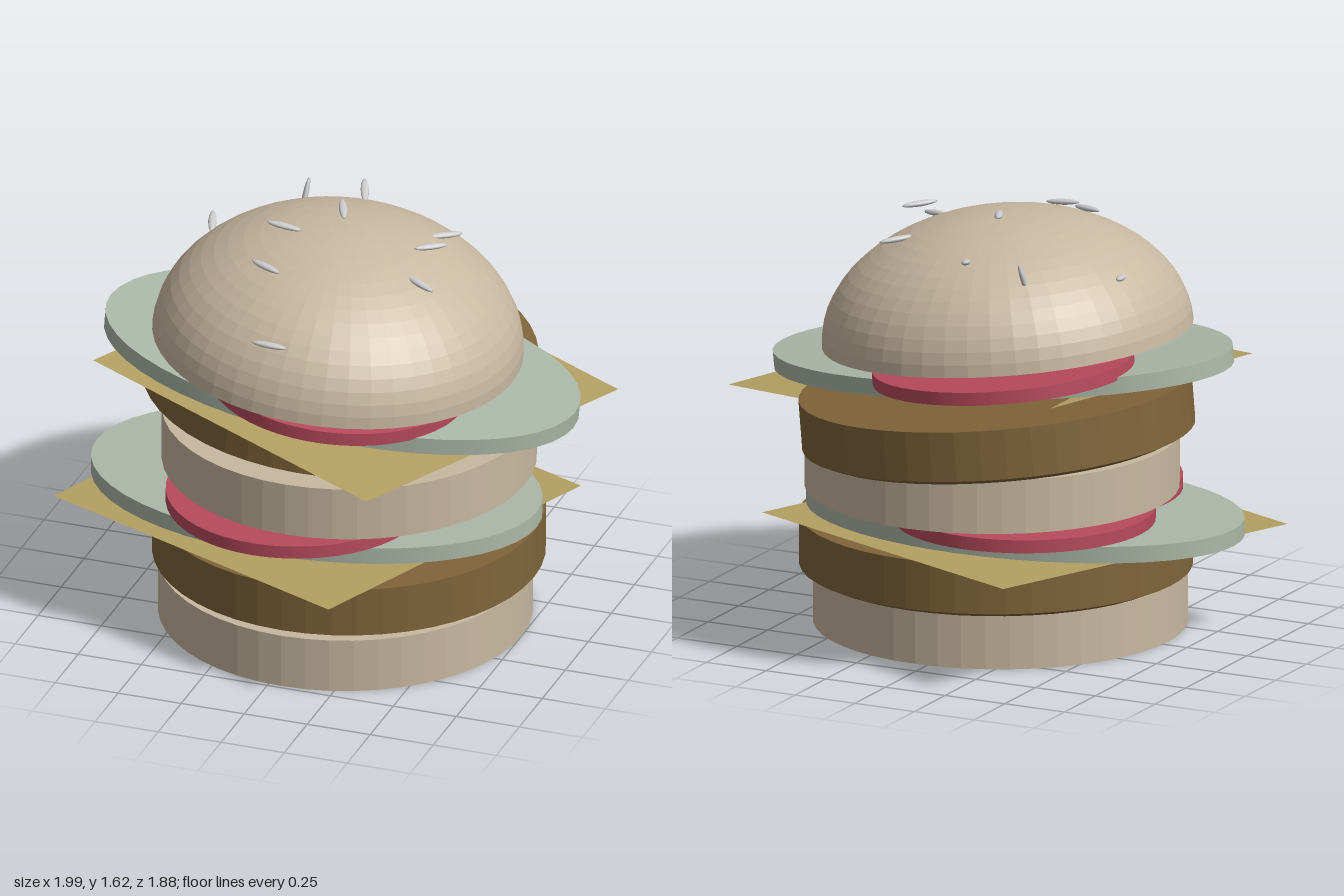
import * as THREE from 'three';

const mat = (color, extra = {}) => new THREE.MeshStandardMaterial({ color, ...extra });
const SIDES = 48;
const TILT = THREE.MathUtils.degToRad(-5); // lean of the upper stack

export function createModel() {
  const group = new THREE.Group();
  const bunMat = mat(0xc8b8a0, { flatShading: true });
  const pattyMat = mat(0x80643a, { flatShading: true });
  const tomatoMat = mat(0xb84a5c);
  const lettuceMat = mat(0xacb8a8);
  const cheeseMat = mat(0xb3a062, { side: THREE.DoubleSide });
  const seedMat = mat(0xcccccc);

  const add = (name, geometry, material, x, y, z, tilt = 0) => {
    const mesh = new THREE.Mesh(geometry, material);
    mesh.name = name;
    mesh.position.set(x, y, z);
    mesh.rotation.z = tilt;
    group.add(mesh);
    return mesh;
  };
  const disc = (r, h) => new THREE.CylinderGeometry(r, r, h, SIDES);
  const lathe = (pts) => new THREE.LatheGeometry(pts.map(([x, y]) => new THREE.Vector2(x, y)), SIDES);

  // Flat buns
  add('bottomBun', disc(0.7, 0.21), bunMat, 0.05, 0.105, 0.037);
  add('middleBun', disc(0.7, 0.208), bunMat, 0.015, 0.666, -0.1);

  // Patties, narrowed slightly at the underside
  const patty = lathe([[0, -0.105], [0.69, -0.105], [0.735, -0.085], [0.735, 0.105], [0, 0.105]]);
  add('lowerPatty', patty, pattyMat, 0.05, 0.317, 0);
  add('upperPatty', patty, pattyMat, -0.062, 0.876, -0.21, TILT * 0.98);

  // Cheese sheets, turned about the vertical
  const cheese = new THREE.PlaneGeometry(1.39, 1.39).rotateX(-Math.PI / 2).rotateY(-Math.PI / 8);
  add('lowerCheese', cheese, cheeseMat, -0.088, 0.425, -0.035);
  add('upperCheese', cheese, cheeseMat, 0.085, 0.966, 0.022, TILT * 1.04);

  // Oval lettuce leaves
  const leaf = (rx, rz) => disc(1, 0.064).scale(rx, 1, rz);
  add('lowerLettuce', leaf(0.873, 0.56), lettuceMat, -0.088, 0.459, -0.03);
  add('upperLettuce', leaf(0.925, 0.56), lettuceMat, 0.037, 1.022, 0.035, TILT * 1.08);

  // Overlapping tomato slices
  const slice = disc(0.49, 0.05);
  const tomatoes = [
    ['lowerFrontTomato', -0.088, 0.518, 0.185, 0],
    ['lowerBackTomato', -0.195, 0.517, -0.245, 0],
    ['upperFrontTomato', 0.1, 1.067, 0.245, TILT],
    ['upperBackTomato', -0.147, 1.088, -0.325, TILT],
  ];
  for (const [name, x, y, z, tilt] of tomatoes) add(name, slice, tomatoMat, x, y, z, tilt);

  // Domed top bun with a flat base
  const dome = [[0, 0]];
  for (let i = 0; i <= 16; i++) {
    const a = (i / 16) * Math.PI / 2;
    dome.push([0.695 * Math.cos(a), 0.473 * Math.sin(a)]);
  }
  dome[dome.length - 1][0] = 0;
  add('topBun', lathe(dome), bunMat, 0.02, 1.11, 0.037, TILT);

  // Sesame seeds: position, then direction of the long axis
  const seedGeo = new THREE.SphereGeometry(1, 12, 8).scale(0.07, 0.011, 0.016);
  const seeds = [
    [-0.15, 1.61, 0.155, 1, -0.1, 0],
    [0, 1.598, -0.075, 0.4, -0.08, 0.92],
    [0.39, 1.563, 0.04, 0.72, -0.08, -0.7],
    [0.405, 1.485, 0.2, 0.9, -0.12, 0.42],
    [-0.15, 1.535, 0.355, 0.92, -0.06, 0.38],
    [-0.535, 1.433, -0.12, 0.3, -0.15, 0.95],
    [-0.03, 1.365, 0.645, 1, -0.04, 0],
    [0.36, 1.49, -0.205, 0.7, -0.1, -0.7],
    [-0.04, 1.505, -0.42, 0.35, -0.22, 0.92],
    [-0.265, 1.46, -0.39, 0.1, 0.9, -0.35],
  ];
  const xAxis = new THREE.Vector3(1, 0, 0);
  for (const [x, y, z, ...dir] of seeds) {
    const seed = add('sesameSeed', seedGeo, seedMat, x, y, z);
    seed.quaternion.setFromUnitVectors(xAxis, new THREE.Vector3(...dir).normalize());
  }
  return group;
}
